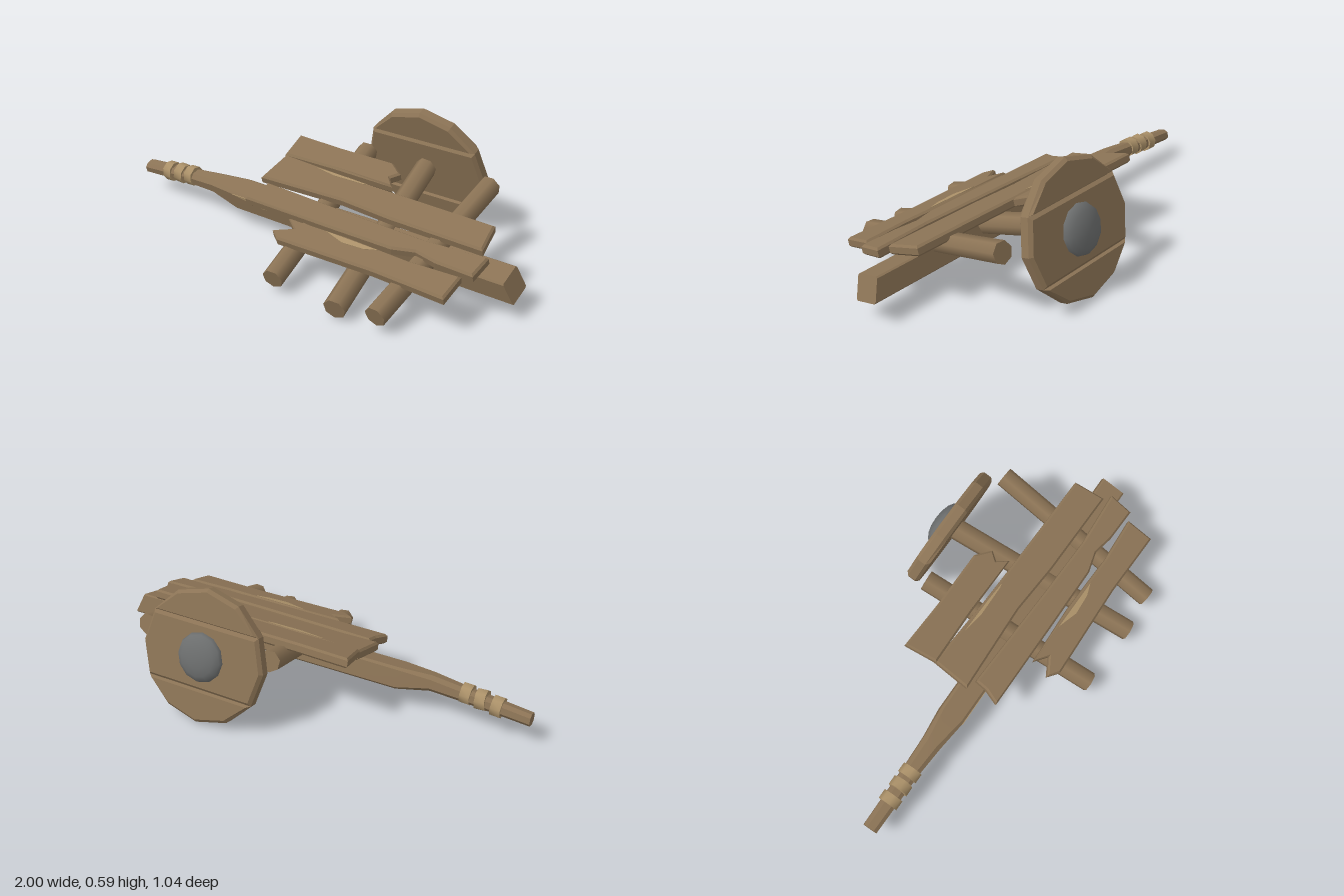
import * as THREE from 'three';
import { toCreasedNormals } from 'three/addons/utils/BufferGeometryUtils.js';

const mat = (name, color) => {
  const m = new THREE.MeshStandardMaterial({ color });
  m.name = name;
  return m;
};

export function createModel() {
  const wood = mat('wood', 0x8b7355);
  const paleWood = mat('paleWood', 0xab9169);
  const iron = mat('iron', 0x6c6e6e);

  const model = new THREE.Group();
  model.name = 'brokenCart';
  // the whole wreck leans back-up by fifteen degrees
  const cart = new THREE.Group();
  cart.name = 'tiltedCart';
  cart.position.set(0, 0.167, 0.073);
  cart.rotation.x = Math.PI / 12;
  model.add(cart);

  const add = (name, geo, material, x = 0, y = 0, z = 0) => {
    const m = new THREE.Mesh(geo, material);
    m.name = name;
    m.position.set(x, y, z);
    cart.add(m);
    return m;
  };
  const shapeOf = (pts) => new THREE.Shape(pts.map(([x, y]) => new THREE.Vector2(x, y)));
  const slab = (pts, thick, bevel) => new THREE.ExtrudeGeometry(shapeOf(pts), {
    depth: thick - 2 * bevel, bevelEnabled: bevel > 0, bevelThickness: bevel,
    bevelSize: bevel, bevelOffset: -bevel, bevelSegments: 1,
  }).translate(0, 0, bevel);

  // Main beam: chamfered square sections [x, centreY, centreZ, halfY, halfZ, chamfer, endSlant]
  const stations = [
    [-1, -0.05, 0.004, 0.027, 0.033, 0.5, 0],
    [-0.7, -0.024, 0.003, 0.032, 0.037, 0.5, 0],
    [-0.55, -0.012, 0.005, 0.036, 0.045, 0.45, 0],
    [-0.4, -0.026, 0.007, 0.05, 0.06, 0.2, 0],
    [0.3, -0.026, 0.007, 0.05, 0.06, 0.12, 0],
    [0.98, -0.026, 0.007, 0.05, 0.06, 0.12, 0.02],
  ];
  const pos = [], idx = [];
  stations.forEach(([x, cy, cz, hy, hz, c, slant]) => {
    const k = 1 - c;
    for (const [a, b] of [[1, k], [k, 1], [-k, 1], [-1, k], [-1, -k], [-k, -1], [k, -1], [1, -k]]) {
      pos.push(x - a * slant, cy + a * hy, cz + b * hz);
    }
  });
  const last = (stations.length - 1) * 8;
  for (let s = 0; s < last; s += 8) {
    for (let i = 0; i < 8; i++) {
      const a = s + i, b = s + (i + 1) % 8;
      idx.push(a, b, a + 8, b, b + 8, a + 8);
    }
  }
  for (let i = 1; i < 7; i++) idx.push(0, i + 1, i, last, last + i, last + i + 1);
  const beamGeo = new THREE.BufferGeometry();
  beamGeo.setAttribute('position', new THREE.Float32BufferAttribute(pos, 3));
  beamGeo.setIndex(idx);
  add('mainBeam', toCreasedNormals(beamGeo, 0.6), wood);

  // Rope wraps on the handle
  [[-0.85, -0.037, 0.06], [-0.778, -0.027, -0.06], [-0.71, -0.02, 0.05]].forEach(([x, y, lean]) => {
    const g = new THREE.CylinderGeometry(0.047, 0.047, 0.045, 8).rotateZ(Math.PI / 2);
    add('ropeWrap', toCreasedNormals(g, 0.9), paleWood, x, y, 0.003).rotation.z = lean;
  });

  // Cross poles, the middle one being the wheel axle
  const pole = (name, from, to, r) => {
    const a = new THREE.Vector3(...from), b = new THREE.Vector3(...to);
    const dir = b.clone().sub(a);
    const m = add(name, new THREE.CylinderGeometry(r, r * 1.03, dir.length(), 7), wood);
    m.position.copy(a).add(b).multiplyScalar(0.5);
    m.quaternion.setFromUnitVectors(new THREE.Vector3(0, 1, 0), dir.normalize());
  };
  pole('crossPoleRight', [0.02, 0.037, -0.44], [0.1, 0.015, 0.435], 0.047);
  pole('axle', [0.31, 0.01, -0.49], [0.42, 0.003, 0.455], 0.049);
  pole('crossPoleLeft', [0.65, 0.037, -0.44], [0.6, 0.025, 0.435], 0.047);

  // Broken bed planks, outlined in plan as [x, z]
  const planks = [
    [0.05, [[0.0, 0.16], [0.06, 0.205], [-0.02, 0.25], [0.03, 0.288], [0.5, 0.278], [0.825, 0.29],
      [0.83, 0.155], [0.6, 0.165], [0.3, 0.152]]],
    [0.053, [[-0.23, 0], [-0.235, 0.06], [-0.26, 0.132], [0.2, 0.137], [0.5, 0.138], [0.6, 0.112],
      [0.7, 0.132], [0.87, 0.138], [0.88, 0.02], [0.6, 0.035], [0.3, 0.025]]],
    [0.057, [[-0.27, -0.198], [-0.28, -0.015], [0.15, -0.03], [0.4, -0.012], [0.84, -0.003],
      [0.82, -0.155], [0.4, -0.165], [0.1, -0.175]]],
    [0.064, [[-0.29, -0.345], [-0.27, -0.19], [0, -0.195], [0.31, -0.19], [0.27, -0.24], [0.3, -0.28],
      [0.23, -0.335], [-0.05, -0.335]]],
  ];
  planks.forEach(([y, pts]) => {
    const g = slab(pts.map(([x, z]) => [x, -z]), 0.045, 0.009).rotateX(-Math.PI / 2);
    add('bedPlank', g, wood, 0, y, 0);
  });

  // Pale splintered patches
  const topPatch = (pts, y) =>
    add('splinterPatch', slab(pts.map(([x, z]) => [x, -z]), 0.003, 0).rotateX(-Math.PI / 2), paleWood, 0, y, 0);
  topPatch([[0.2, 0.164], [0.3, 0.195], [0.4, 0.19], [0.46, 0.17]], 0.094);
  topPatch([[-0.08, -0.17], [0.03, -0.153], [0.18, -0.155], [0.2, -0.16], [0.1, -0.166]], 0.101);
  add('beamScrape', slab([[-0.41, 0.015], [-0.23, -0.016], [-0.05, 0.012], [-0.05, 0.018]], 0.003, 0),
    paleWood, 0, 0, 0.066);

  // Solid wheel from three boards, cut from a twelve-sided disc
  const rim = (i) => [0.3 * Math.sin(i * Math.PI / 6), 0.3 * Math.cos(i * Math.PI / 6)];
  [[-2, -1, 0, 1, 2], [2, 3, 4, 8, 9, 10], [4, 5, 6, 7, 8]].forEach((corners) => {
    add('wheelBoard', slab(corners.map(rim), 0.065, 0.014), wood, 0.3, 0, -0.533);
  });
  // backing that closes the grooves between boards
  add('wheelCore', new THREE.CylinderGeometry(0.275, 0.275, 0.04, 12).rotateX(Math.PI / 2), wood, 0.3, 0, -0.5);

  // Iron hub cap on the outer face
  const hub = new THREE.SphereGeometry(0.112, 12, 4, 0, Math.PI * 2, 0, Math.PI / 2)
    .rotateX(-Math.PI / 2).scale(1, 1, 0.42);
  add('hubCap', hub, iron, 0.3, 0, -0.53);

  return model;
}
